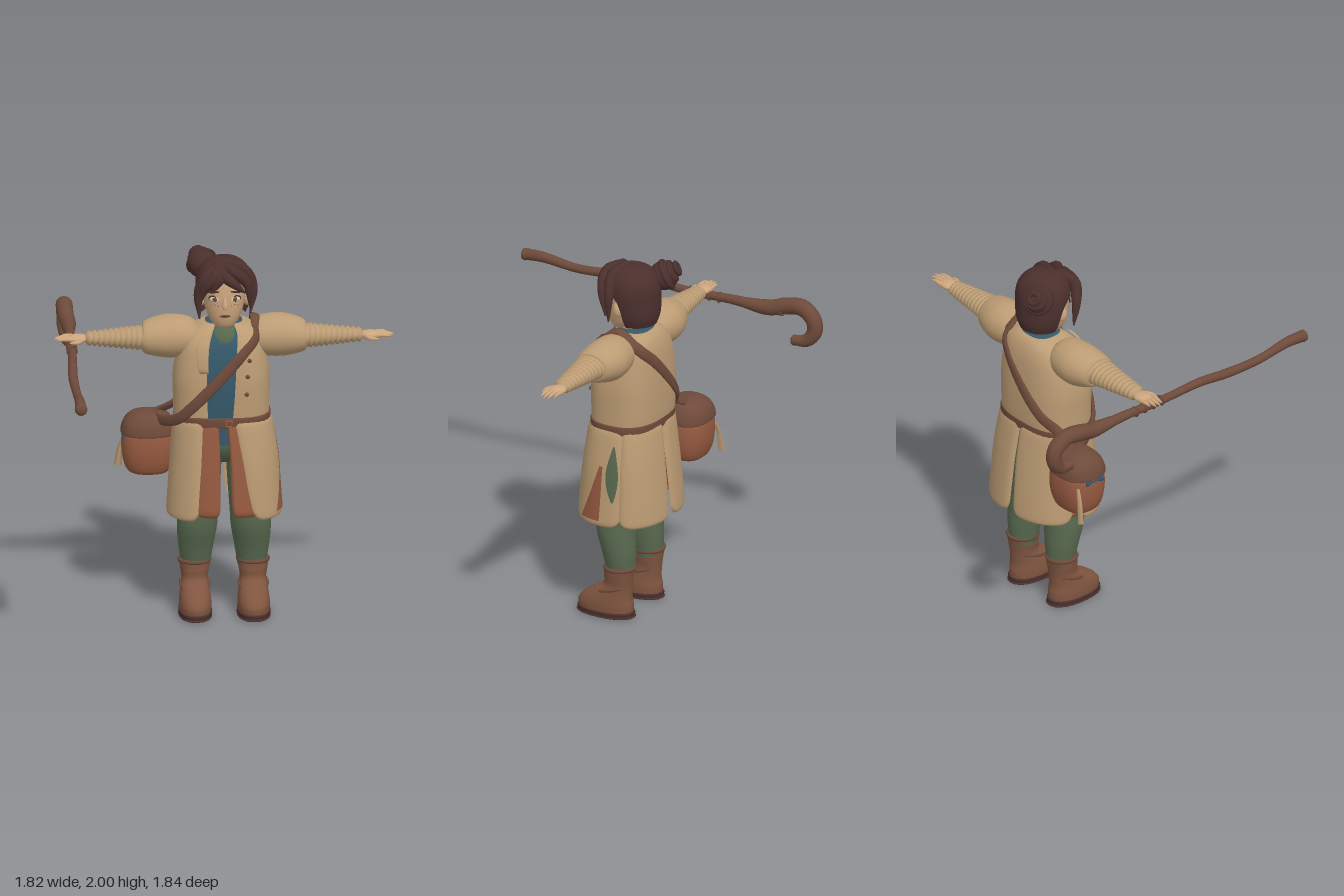
import * as THREE from 'three';
import { ParametricGeometry } from 'three/addons/geometries/ParametricGeometry.js';

const material = (name, color) => {
  const m = new THREE.MeshStandardMaterial({ color, side: THREE.DoubleSide });
  m.name = name;
  return m;
};
const DEG = Math.PI / 180;
const V = (x, y, z) => new THREE.Vector3(x, y, z);

// A body is a list of rings [y, cx, cz, rx, rz]; v runs from the first to the last.
function ringAt(rings, v) {
  const s = v * (rings.length - 1), i = Math.min(Math.floor(s), rings.length - 2), f = s - i;
  const R = k => rings[Math.max(0, Math.min(rings.length - 1, k))];
  return rings[i].map((b, k) => {
    const a = R(i - 1)[k], c = R(i + 1)[k], d = R(i + 2)[k];
    const m0 = (c - a) / 2, m1 = (d - b) / 2;
    return b + f * (m0 + f * (3 * (c - b) - 2 * m0 - m1 + f * (2 * (b - c) + m0 + m1)));
  });
}
function ringAtY(rings, y) {
  let v = 0;
  while (v < 1 && ringAt(rings, v)[0] < y) v += 0.005;
  return ringAt(rings, Math.min(v, 1));
}

// Surface around the rings between angles a0 and a1 (degrees from the front towards +x)
function panel(rings, { a0 = 0, a1 = 360, n = 2, puff = 0, off = 0, v0 = 0, v1 = 1, round = 0, us = 32, vs = 24 } = {}) {
  const val = (a, v) => (typeof a === 'function' ? a(v) : a);
  return new ParametricGeometry((u, t, p) => {
    const v = v0 + (v1 - v0) * t;
    const [y, cx, cz, rx, rz] = ringAt(rings, v);
    const a = (val(a0, t) + (val(a1, t) - val(a0, t)) * u) * DEG;
    const s = Math.sin(a), c = Math.cos(a), e = Math.abs(2 * u - 1);
    const grow = off + puff * (1 - e ** 10) * (1 - Math.abs(2 * t - 1) ** 16);
    const w = Math.max(rx + grow, 0.001), d = Math.max(rz + grow, 0.001);
    const r = (Math.abs(s / w) ** n + Math.abs(c / d) ** n) ** (-1 / n);
    p.set(cx + r * s, y + round * e ** 8 * (1 - t) ** 2, cz + r * c);
  }, us, vs);
}

// Tube through points whose radius follows a list
function taper(points, radii, seg = 24, sides = 10) {
  const curve = new THREE.CatmullRomCurve3(points.map(p => V(...p)));
  const geo = new THREE.TubeGeometry(curve, seg, 1, sides);
  const pos = geo.attributes.position, q = V(0, 0, 0);
  for (let k = 0; k < pos.count; k++) {
    const t = Math.floor(k / (sides + 1)) / seg, s = t * (radii.length - 1);
    const i = Math.min(Math.floor(s), radii.length - 2);
    const r = THREE.MathUtils.lerp(radii[i], radii[i + 1], s - i), c = curve.getPointAt(t);
    q.fromBufferAttribute(pos, k).sub(c).multiplyScalar(r).add(c);
    pos.setXYZ(k, q.x, q.y, q.z);
  }
  return geo;
}

export function createModel() {
  const root = new THREE.Group();
  root.name = 'traveller';
  const skin = material('skin', 0xcda67e), coat = material('coat cloth', 0xbc9c74);
  const teal = material('shirt cloth', 0x35586a), green = material('trouser cloth', 0x58694f);
  const leather = material('rust leather', 0x965a40), boot = material('boot leather', 0x805540);
  const wood = material('wood and straps', 0x6e4a3a), hair = material('hair', 0x4b302d);
  const white = material('eye white', 0xd8d0c4);
  const add = (name, geo, mat, pos = [0, 0, 0], parent = root) => {
    const m = new THREE.Mesh(geo, mat);
    m.name = name;
    m.position.set(...pos);
    parent.add(m);
    return m;
  };
  const ball = (name, mat, pos, size, parent) => {
    const m = add(name, new THREE.SphereGeometry(1, 20, 14), mat, pos, parent);
    m.scale.set(...size);
    return m;
  };

  // Torso: shirt, open coat, lapel, buttons
  const torso = [[1.09, -.015, -.215, .24, .17], [1.2, -.015, -.215, .24, .175], [1.35, -.015, -.215, .24, .175],
    [1.5, -.01, -.22, .215, .16], [1.58, 0, -.23, .18, .13], [1.63, 0, -.24, .1, .09]];
  const n = 2.6;
  add('shirt', panel([...torso, [1.635, 0, -.24, .001, .001]], { n, off: -.008, us: 40 }), teal);
  add('coat', panel(torso, { a0: v => 17 + 14 * v, a1: v => 336 - 6 * v, n, puff: .018, us: 72, vs: 36 }), coat);
  add('lapel', panel(torso, { a0: v => -27 - 16 * Math.sin(Math.PI * (.15 + .7 * v)), a1: v => -22 - 6 * v, n, puff: .012, off: .02, v0: .45, v1: .9 }), coat);
  for (const [x, y] of [[.115, 1.27], [.12, 1.37], [.13, 1.46]]) ball('button', wood, [x, y, -.027], [.012, .012, .008]);
  add('collar', panel([[1.5, 0, -.2, .13, .12], [1.57, 0, -.2, .105, .11], [1.62, 0, -.21, .085, .085], [1.625, 0, -.21, .06, .06]]), green);
  add('neck', new THREE.CylinderGeometry(.06, .065, .14, 20), skin, [0, 1.62, -.21]);

  // Trousers and boots
  ball('hips', green, [0, 1, -.21], [.22, .16, .15]);
  add('shirtTail', panel([[.98, 0, -.2, .2, .16], [1.1, -.01, -.215, .235, .175]], { a0: -40, a1: 40, n }), teal);
  for (const s of [1, -1]) {
    const x = s * .15;
    const leg = new THREE.Group();
    leg.name = s > 0 ? 'leftLeg' : 'rightLeg';
    root.add(leg);
    add('trouserLeg', panel([[.25, x, -.235, .075, .075], [.36, x, -.225, .093, .09], [.48, x - s * .005, -.205, .108, .105],
      [.58, x - s * .01, -.2, .11, .11], [.8, s * .135, -.205, .12, .125], [1.02, s * .12, -.21, .11, .13]]), green, [0, 0, 0], leg);
    const bx = s * .157;
    add('boot', panel([[.03, bx, -.147, .085, .16], [.07, bx, -.147, .087, .16], [.11, bx, -.16, .083, .14], [.15, bx, -.19, .076, .11],
      [.19, bx, -.222, .071, .08], [.24, bx, -.228, .078, .08], [.28, bx, -.232, .083, .083]], { n: 2.3 }), boot, [0, 0, 0], leg);
    add('sole', panel([[0, bx, -.147, .001, .001], [.001, bx, -.147, .083, .16], [.015, bx, -.147, .088, .166], [.034, bx, -.147, .088, .166], [.036, bx, -.147, .07, .14]], { n: 2.3 }), hair, [0, 0, 0], leg);
    const cuff = add('bootCuff', new THREE.TorusGeometry(.08, .012, 8, 32), wood, [bx, .285, -.232], leg);
    cuff.rotation.x = Math.PI / 2;
    const crease = add('ankleStrap', new THREE.TorusGeometry(.077, .008, 8, 32), wood, [bx, .16, -.195], leg);
    crease.rotation.x = Math.PI / 2 + .25;
    crease.scale.y = 1.3;
  }

  // Skirt of the coat: rust lining, front and back panels, side patches
  const skirt = [[.56, 0, -.21, .295, .235], [.7, 0, -.21, .285, .225], [.9, 0, -.21, .27, .205], [1.12, -.01, -.21, .245, .175]];
  const mix = (a, b) => v => a + (b - a) * v;
  const flap = (name, mat, a0, a1, o) => add(name, panel(skirt, { a0, a1, n: 2.4, puff: .02, round: .06, vs: 28, ...o }), mat);
  flap('liningLeft', leather, mix(9, 6), mix(44, 24), { off: -.012, v0: .09 });
  flap('liningRight', leather, mix(-38, -36), mix(-7, -9), { off: -.012, v0: .09 });
  flap('sideLining', leather, -125, -70, { off: -.015, v0: .08 });
  flap('frontPanelLeft', coat, mix(34, 16), mix(109, 115));
  flap('frontPanelRight', coat, mix(-92, -105), mix(-33, -31));
  flap('backPanelLeft', coat, 106, mix(176, 180), { off: .004 });
  flap('backPanelRight', coat, mix(183, 180), 258, { off: .004 });
  flap('rustPatch', leather, v => 62 + 22 * v, v => 86 + 2 * v, { off: .022, puff: 0, round: 0, v0: .12, v1: .68 });
  flap('greenPatch', green, v => 99 - 7 * Math.sin(Math.PI * v), v => 101 + 5 * Math.sin(Math.PI * v), { off: .022, puff: 0, round: 0, v0: .36, v1: .84 });

  // Belt and buckle
  add('belt', panel([[1.08, -.01, -.215, .25, .18], [1.085, -.01, -.215, .26, .19], [1.13, -.01, -.215, .26, .19], [1.135, -.01, -.215, .25, .18]], { n, us: 48 }), wood);
  const buckle = add('buckle', new THREE.TorusGeometry(.022, .006, 6, 4), leather, [.02, 1.107, -.022]);
  buckle.rotation.z = Math.PI / 4;

  // Arms, built pointing up and turned outwards
  for (const s of [1, -1]) {
    const arm = new THREE.Group();
    arm.name = s > 0 ? 'leftArm' : 'rightArm';
    arm.position.y = 1.545;
    arm.rotation.z = -s * Math.PI / 2;
    root.add(arm);
    add('sleeve', panel([[.13, 0, -.22, .06, .08], [.19, 0, -.225, .105, .115], [.3, 0, -.23, .117, .127],
      [.39, 0, -.22, .1, .115], [.435, 0, -.21, .08, .095], [.44, 0, -.205, .05, .06]]), coat, [0, 0, 0], arm);
    const wraps = [new THREE.Vector2(.05, .4)];
    for (let i = 0; i < 11; i++) {
      const r = .068 - .003 * i, y = .42 + .029 * i;
      wraps.push(new THREE.Vector2(r - .01, y), new THREE.Vector2(r, y + .007), new THREE.Vector2(r, y + .021));
    }
    wraps.push(new THREE.Vector2(.02, .745));
    add('forearmWraps', new THREE.LatheGeometry(wraps, 24), coat, [0, 0, -.205], arm).scale.z = 1.35;
    ball('palm', skin, [0, .785, -.205], [.022, .06, .047], arm);
    for (let i = 0; i < 4; i++) {
      const z = -.24 + .024 * i, tip = [.88, .905, .91, .895][i];
      add('finger', taper([[0, .8, z], [-s * .004, .85, z], [0, tip, z]], [.013, .012, .011, .004], 10, 8), skin, [0, 0, 0], arm);
    }
    add('thumb', taper([[0, .755, -.18], [s * .006, .785, -.145], [s * .008, .83, -.138]], [.016, .013, .012, .004], 10, 8), skin, [0, 0, 0], arm);
  }

  // Head and face
  const head = [[1.615, 0, -.15, .001, .001], [1.62, 0, -.16, .045, .045], [1.66, 0, -.178, .08, .085], [1.73, 0, -.2, .106, .12],
    [1.82, 0, -.213, .118, .134], [1.91, 0, -.22, .11, .125], [1.96, 0, -.22, .06, .07]];
  add('head', panel(head, { n: 2.1 }), skin);
  const faceZ = (x, y) => {
    const [, , cz, rx, rz] = ringAtY(head, y);
    return cz + rz * Math.sqrt(1 - (x / rx) ** 2);
  };
  const plate = (name, mat, x, y, w, h, lift, tilt = 0) => {
    const m = ball(name, mat, [x, y, faceZ(x, y) + lift], [w, h, .004]);
    m.rotation.set(0, Math.atan(x * 9) * .75, tilt);
  };
  add('nose', taper([[0, 1.8, -.083], [0, 1.755, -.068], [0, 1.735, -.072]], [.009, .014, .019, .01], 10, 10), skin);
  plate('mouth', leather, 0, 1.695, .028, .009, .001);
  plate('mouthLine', hair, 0, 1.697, .03, .003, .004);
  for (const s of [1, -1]) {
    plate('eyeLine', hair, s * .058, 1.791, .032, .019, 0);
    plate('eye', white, s * .058, 1.788, .027, .014, .003);
    plate('iris', wood, s * .055, 1.789, .012, .013, .006);
    plate('brow', hair, s * .06, 1.828, .034, .006, .003, -s * .15);
    for (let i = 0; i < 3; i++) plate('freckle', boot, s * (.035 + .018 * i), 1.752 + (i % 2) * .006, .004, .003, .001);
    ball('ear', skin, [s * .125, 1.765, -.2], [.025, .045, .028]);
  }

  // Hair: bob, swept locks and bun
  const bob = [[1.665, 0, -.245, .115, .11], [1.72, 0, -.24, .138, .132], [1.8, 0, -.23, .15, .145], [1.87, 0, -.225, .15, .148],
    [1.93, 0, -.222, .13, .133], [1.975, 0, -.222, .08, .085], [1.99, 0, -.222, .001, .001]];
  const gap = v => 88 * Math.max(0, 1 - (v / .53) ** 5) ** .5;
  add('hairCap', panel(bob, { a0: gap, a1: v => 360 - gap(v), us: 48, vs: 40 }), hair);
  const locks = [
    [[-.03, 1.97, -.15], [-.1, 1.91, -.09], [-.14, 1.82, -.11], [-.135, 1.67, -.125]],
    [[-.03, 1.975, -.15], [-.06, 1.91, -.075], [-.11, 1.84, -.09], [-.13, 1.76, -.12]],
    [[-.04, 1.97, -.14], [0, 1.92, -.075], [.06, 1.87, -.07], [.11, 1.82, -.1]],
    [[-.04, 1.975, -.15], [.05, 1.94, -.09], [.12, 1.87, -.1], [.14, 1.72, -.13]],
    [[-.02, 1.98, -.18], [.1, 1.94, -.15], [.155, 1.84, -.16], [.14, 1.69, -.15]],
    [[-.02, 1.97, -.14], [-.03, 1.91, -.07], [-.05, 1.87, -.07], [-.08, 1.83, -.085]]];
  for (const l of locks) add('hairLock', taper(l, [.02, .032, .03, .02, .004]), hair);
  ball('bun', hair, [-.11, 1.91, -.35], [.08, .08, .08]);
  for (const [i, r] of [.072, .05, .028].entries()) {
    const t = add('bunTwist', new THREE.TorusGeometry(r, .016, 8, 28), hair, [-.115 - .012 * i, 1.918 + .018 * i, -.365 - .025 * i]);
    t.rotation.set(.5, .4, 0);
  }

  // Shoulder bag with flap, roll and ribbon
  const bag = (name, rings, mat) => add(name, panel(rings.map(([y, w, d]) => [y, -.4, -.335, w, d]), { n: 2.6 }), mat);
  bag('bag', [[.748, .001, .001], [.752, .09, .08], [.79, .127, .112], [.88, .145, .13], [.98, .138, .125], [1.05, .1, .09]], leather);
  bag('bagFlap', [[.975, .135, .12], [.98, .15, .135], [1.04, .133, .12], [1.085, .085, .075], [1.1, .001, .001]], wood);
  add('bagRoll', new THREE.CylinderGeometry(.028, .028, .12, 16), teal, [-.515, .955, -.33]).rotation.x = Math.PI / 2;
  add('ribbon', taper([[-.5, .95, -.42], [-.54, .87, -.44], [-.56, .75, -.45]], [.01, .016, .02], 12, 4), coat);

  // Strap across chest and back, laid over the coat
  const over = (x, y, side) => {
    const [, cx, cz, rx, rz] = ringAtY(torso, y);
    const q = Math.min(1, Math.abs((x - cx) / (rx + .03)));
    return V(x, y, cz + side * (rz + .026) * (1 - q ** n) ** (1 / n));
  };
  const path = [V(.165, 1.655, -.22)];
  for (let i = 0; i <= 6; i++) path.push(over(.17 - .42 * i / 6, 1.57 - .45 * i / 6, 1));
  path.push(V(-.34, 1.07, -.24), V(-.36, 1.08, -.34));
  for (let i = 6; i >= 0; i--) path.push(over(.16 - .41 * i / 6, 1.57 - .43 * i / 6, -1));
  const loop = new THREE.CatmullRomCurve3(path, true);
  add('strap', new ParametricGeometry((u, v, p) => {
    const c = loop.getPoint(v % 1), t = loop.getTangent(v % 1), a = -u * 2 * Math.PI;
    const out = V(c.x * .6, c.y > 1.6 ? .3 : 0, c.z + .22).addScaledVector(t, 0).normalize();
    const side = t.clone().cross(out).normalize(), nor = side.clone().cross(t);
    p.copy(c).addScaledVector(side, Math.cos(a) * .03).addScaledVector(nor, Math.sin(a) * .012);
  }, 12, 120), wood);

  // Hooked staff with bindings
  add('staff', taper([[-.82, 1.5, .92], [-.82, 1.505, .8], [-.825, 1.482, .59], [-.835, 1.495, .35], [-.83, 1.512, .16], [-.82, 1.5, -.1],
    [-.82, 1.508, -.35], [-.82, 1.51, -.6], [-.83, 1.535, -.69], [-.83, 1.545, -.8], [-.825, 1.49, -.868], [-.825, 1.42, -.872], [-.82, 1.365, -.825], [-.815, 1.355, -.755]],
    [.032, .028, .024, .024, .026, .025, .024, .023, .023, .024, .028, .042, .046, .046, .042, .028], 90, 12), wood);
  ball('staffFoot', wood, [-.82, 1.5, .905], [.034, .034, .02]);
  ball('hookTip', wood, [-.815, 1.355, -.755], [.03, .03, .02]);
  for (let i = 0; i < 6; i++) add('hookBinding', new THREE.TorusGeometry(.027, .007, 6, 16), wood, [-.82, 1.512, -.6 - .016 * i]);
  for (let i = 0; i < 4; i++) add('gripBinding', new THREE.TorusGeometry(.025, .006, 6, 16), wood, [-.82, 1.503, -.11 - .06 * i]);
  return root;
}
